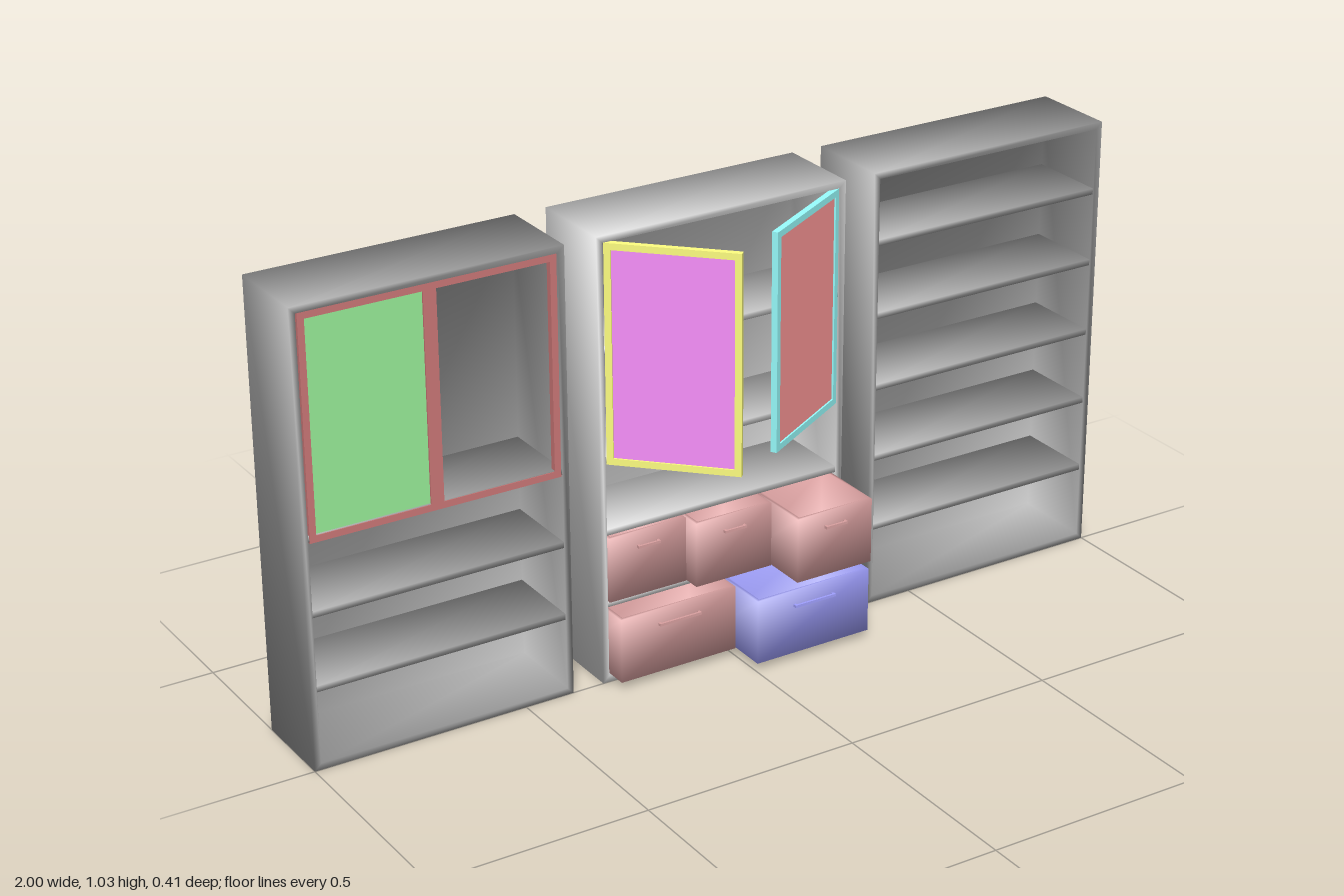
import * as THREE from 'three';

const material = (color) => new THREE.MeshStandardMaterial({ color });
const LIGHT = material(0xcccccc), DARK = material(0x999999);
const ROSE = material(0xd9a0a0), BLUE = material(0xa0a0ff);
const RED = material(0xcc7777), GREEN = material(0x99ee99);
const PINK = material(0xff9898), PURPLE = material(0xf890fb);
const YELLOW = material(0xffff80), CYAN = material(0x99ffff);

const W = 0.617, H = 1.035, D = 0.205, T = 0.015; // cabinet size and board thickness

function add(parent, name, geometry, mat) {
  const mesh = new THREE.Mesh(geometry, mat);
  mesh.name = name;
  parent.add(mesh);
  return mesh;
}

// Box given by its minimum and maximum corners
function slab(parent, name, mat, [x0, y0, z0], [x1, y1, z1]) {
  const mesh = add(parent, name, new THREE.BoxGeometry(x1 - x0, y1 - y0, z1 - z0), mat);
  mesh.position.set((x0 + x1) / 2, (y0 + y1) / 2, (z0 + z1) / 2);
  return mesh;
}

// Box shaded smoothly across its edges: corner normals point along the diagonals
function softSlab(...args) {
  const { position, normal } = slab(...args).geometry.attributes;
  const v = new THREE.Vector3();
  for (let i = 0; i < position.count; i++) {
    v.fromBufferAttribute(position, i);
    v.set(Math.sign(v.x), Math.sign(v.y), Math.sign(v.z)).normalize();
    normal.setXYZ(i, v.x, v.y, v.z);
  }
}

// Hollow box open towards +z, z from 0 to d, shaded smoothly across its edges
function shell(w, h, d, t) {
  // Rectangular sections: inset, z, outward and z parts of the corner normal
  const sections = [[0, 0, 1, -1], [0, d, 1, 1], [t, d, -1, 3], [t, t, -1, 1]];
  const positions = [], normals = [], index = [2, 1, 0, 3, 2, 0, 12, 13, 14, 12, 14, 15];
  sections.forEach(([inset, z, out, nz], s) => {
    [[-1, -1], [1, -1], [1, 1], [-1, 1]].forEach(([sx, sy], j) => {
      positions.push(sx * (w / 2 - inset), sy * (h / 2 - inset), z);
      normals.push(...new THREE.Vector3(sx * out, sy * out, nz).normalize());
      if (s === 3) return;
      const a = s * 4 + j, b = s * 4 + (j + 1) % 4;
      index.push(a, b, b + 4, a, b + 4, a + 4);
    });
  });
  const geo = new THREE.BufferGeometry();
  geo.setAttribute('position', new THREE.Float32BufferAttribute(positions, 3));
  geo.setAttribute('normal', new THREE.Float32BufferAttribute(normals, 3));
  return geo.setIndex(index);
}

// Carcass with shelves
function cabinet(name, x, mat, shelves) {
  const g = new THREE.Group();
  g.name = name;
  g.position.x = x;
  add(g, 'carcass', shell(W, H, D, T), mat).position.set(0, H / 2, -D);
  const inner = W / 2 - T;
  for (const y of shelves) softSlab(g, 'shelf', mat, [-inner, y, -D + T], [inner, y + 0.014, -0.002]);
  return g;
}

// Framed door; side +1 reaches from the hinge towards +x, -1 towards -x
function door(name, hingeX, side, angle, frameMat, panelMat) {
  const g = new THREE.Group(), w = 0.29, h = 0.5, b = 0.015, depth = 0.014;
  g.name = name;
  const x0 = side > 0 ? 0 : -w, x1 = x0 + w;
  const rect = (inset) => [[x0 + inset, inset], [x1 - inset, inset], [x1 - inset, h - inset], [x0 + inset, h - inset]]
    .map((p) => new THREE.Vector2(...p));
  const shape = new THREE.Shape(rect(0));
  shape.holes.push(new THREE.Path(rect(b)));
  const geo = new THREE.ExtrudeGeometry(shape, { depth, bevelEnabled: false });
  add(g, 'doorFrame', geo, frameMat).position.z = -depth;
  if (panelMat) slab(g, 'doorPanel', panelMat, [x0 + b, b, -0.01], [x1 - b, h - b, -0.004]);
  g.position.set(hingeX, 0.52, 0);
  g.rotation.y = -side * angle;
  return g;
}

// Open-topped drawer whose front face sits at z
function drawer(name, x0, x1, y0, z, mat, handleWidth) {
  const g = new THREE.Group(), d = 0.19;
  g.name = name;
  g.position.set((x0 + x1) / 2, y0, z);
  const box = add(g, 'drawerBox', shell(x1 - x0 - 0.002, d, 0.152, 0.008), mat);
  box.rotation.x = -Math.PI / 2;
  box.position.z = -d / 2;
  // Handle
  for (const s of [-1, 1]) {
    const px = s * (handleWidth / 2 - 0.003);
    slab(g, 'handlePost', mat, [px - 0.003, 0.114, 0], [px + 0.003, 0.12, 0.006]);
  }
  slab(g, 'handleBar', mat, [-handleWidth / 2, 0.114, 0.004], [handleWidth / 2, 0.12, 0.009]);
  return g;
}

export function createModel() {
  const model = new THREE.Group();
  model.name = 'wallCabinets';
  const level = (i) => 0.01 + 0.171 * i; // regular shelf heights

  // Open shelving and its two closed doors, one without a panel
  const right = cabinet('rightCabinet', -(1 - W / 2), DARK, [1, 2, 3].map(level));
  right.add(door('paneledDoor', -0.29, 1, 0, RED, GREEN), door('openFrameDoor', 0.29, -1, 0, RED, null));

  // Middle cabinet with doors ajar and drawers pulled out
  const middle = cabinet('middleCabinet', 0, LIGHT, [...[1, 2, 3].map(level), 0.77]);
  middle.add(
    door('rightDoor', -0.2915, 1, Math.PI / 4, YELLOW, PURPLE),
    door('leftDoor', 0.2915, -1, Math.PI / 6, CYAN, PINK));
  [0.004, 0.042, 0.143].forEach((z, i) => {
    const x = -0.2925 + i * 0.195;
    middle.add(drawer('smallDrawer', x, x + 0.195, 0.194, z, ROSE, 0.055));
  });
  middle.add(
    drawer('wideDrawer', -0.2925, 0, 0.02, 0.05, ROSE, 0.105),
    drawer('wideDrawer', 0, 0.2925, 0.02, 0.136, BLUE, 0.105));

  // Bookcase with five shelves
  const left = cabinet('leftCabinet', 1 - W / 2, DARK, [1, 2, 3, 4, 5].map(level));

  model.add(right, middle, left);
  return model;
}
